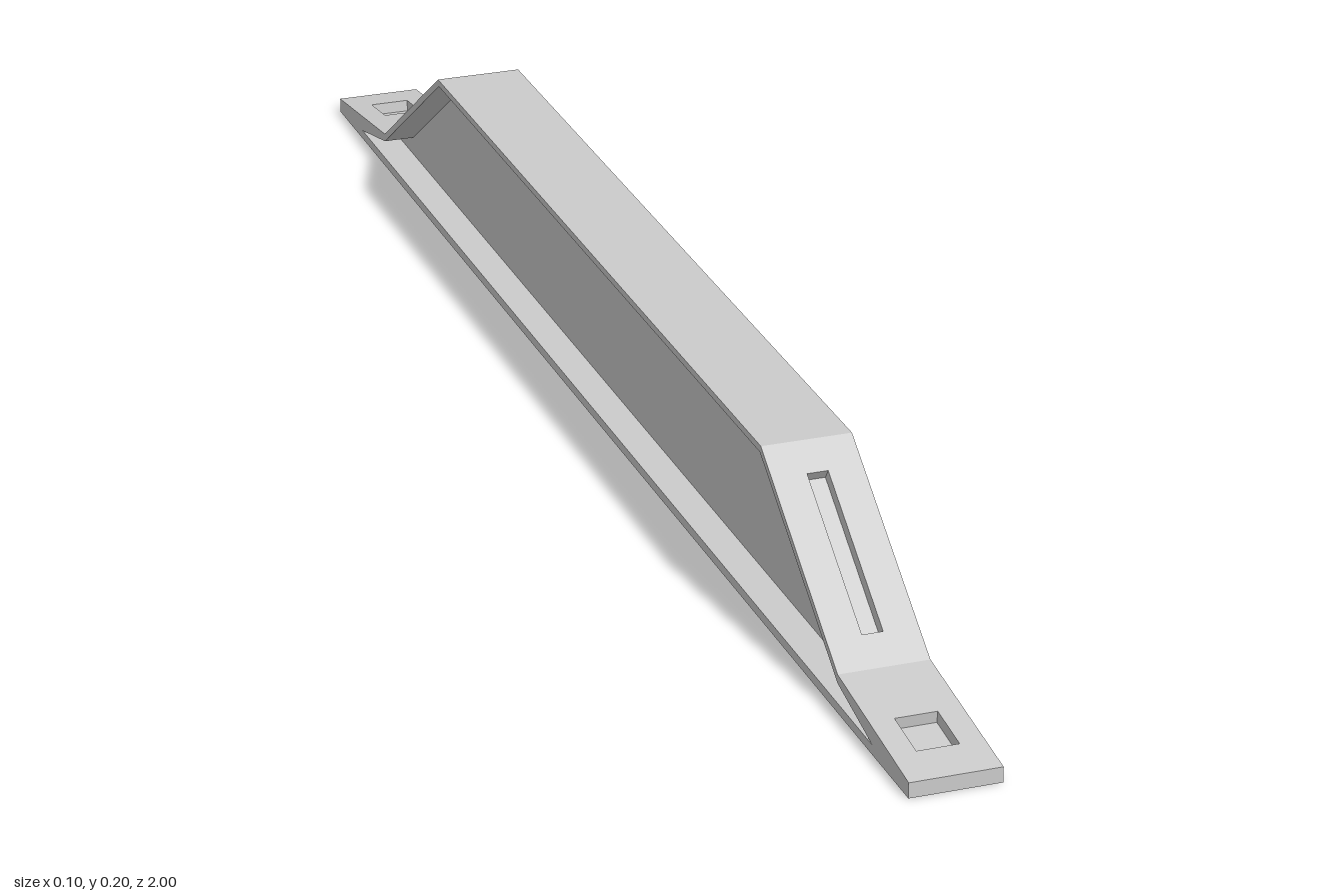
import * as THREE from 'three';
import { mergeGeometries } from 'three/addons/utils/BufferGeometryUtils.js';

const W = 0.052;    // half width of the rim
const WEB = 0.014;  // half thickness of the central web

// Side profiles as [z, y], running from the front over the top to the back
const mirrored = (half) => [...half, ...half.map(([z, y]) => [-z, y]).reverse()];
const OUTER = mirrored([[1, 0], [1, 0.018], [0.8, 0.044], [0.568, 0.204]]);
const INNER = mirrored([[0.9, 0.011], [0.8, 0.034], [0.565, 0.196]]);

const polygon = (pts, Type = THREE.Shape) => new Type(pts.map(([a, b]) => new THREE.Vector2(a, b)));
const rect = (x0, x1, y0, y1, Type) => polygon([[x0, y0], [x1, y0], [x1, y1], [x0, y1]], Type);

// Five inward faces of a recess, open at local z = 0
function pocket(x0, x1, u0, u1, depth) {
  const box = new THREE.BoxGeometry(x1 - x0, u1 - u0, depth);
  const idx = Array.from(box.index.array);
  idx.splice(24, 6);                                  // drop the lid
  for (let i = 0; i < idx.length; i += 3) [idx[i], idx[i + 1]] = [idx[i + 1], idx[i]];
  box.setIndex(idx);
  const n = box.attributes.normal;
  for (let i = 0; i < n.array.length; i++) n.array[i] *= -1;
  return box.translate((x0 + x1) / 2, (u0 + u1) / 2, -depth / 2);
}

// Flat strip between profile points a and b, optionally with a recess
// cut = { half, z0, z1, depth }: half width, z range, depth
function panel(a, b, x0, x1, cut) {
  const dir = new THREE.Vector3(0, b[1] - a[1], b[0] - a[0]);
  const len = dir.length();
  dir.normalize();
  const right = new THREE.Vector3(1, 0, 0);
  const shape = rect(x0, x1, 0, len);
  const parts = [];
  if (cut) {
    const [u0, u1] = [cut.z0, cut.z1].map((z) => (z - a[0]) / dir.z).sort((p, q) => p - q);
    shape.holes.push(rect(-cut.half, cut.half, u0, u1, THREE.Path));
    parts.push(pocket(-cut.half, cut.half, u0, u1, cut.depth));
  }
  parts.push(new THREE.ShapeGeometry(shape));
  const m = new THREE.Matrix4().makeBasis(right, dir, right.clone().cross(dir));
  m.setPosition(0, a[1], a[0]);
  return mergeGeometries(parts).applyMatrix4(m);
}

export function createModel() {
  const group = new THREE.Group();
  const material = new THREE.MeshStandardMaterial({ color: 0xcccccc });
  const add = (name, geometry) => {
    const mesh = new THREE.Mesh(geometry, material);
    mesh.name = name;
    group.add(mesh);
    return mesh;
  };

  // Outer skin: square holes in the end tabs, long slots in the slopes
  const tabHole = { half: 0.024, z0: 0.89, z1: 0.95, depth: 0.014 };
  const slot = { half: 0.012, z0: 0.602, z1: 0.766, depth: 0.014 };
  const flip = (c) => ({ ...c, z0: -c.z0, z1: -c.z1 });
  const cuts = [null, tabHole, slot, null, flip(slot), flip(tabHole), null, null];
  const names = ['frontEnd', 'frontTab', 'frontSlope', 'top', 'backSlope', 'backTab', 'backEnd', 'base'];
  OUTER.forEach((p, i) => add(names[i], panel(p, OUTER[(i + 1) % OUTER.length], -W, W, cuts[i])));

  // Both sides: rim face, recess walls and web
  for (const [side, s] of [['left', 1], ['right', -1]]) {
    const ring = polygon(OUTER);
    ring.holes.push(polygon(INNER, THREE.Path));
    const rim = add(side + 'Rim', new THREE.ShapeGeometry(ring));
    const web = add(side + 'Web', new THREE.ShapeGeometry(polygon(INNER)));
    rim.rotation.y = web.rotation.y = s * Math.PI / 2;
    rim.position.x = s * W;
    web.position.x = s * WEB;
    const [x0, x1] = s > 0 ? [WEB, W] : [-W, -WEB];
    add(side + 'RecessWalls', mergeGeometries(
      INNER.map((p, i) => panel(INNER[(i + 1) % INNER.length], p, x0, x1))));
  }
  return group;
}
